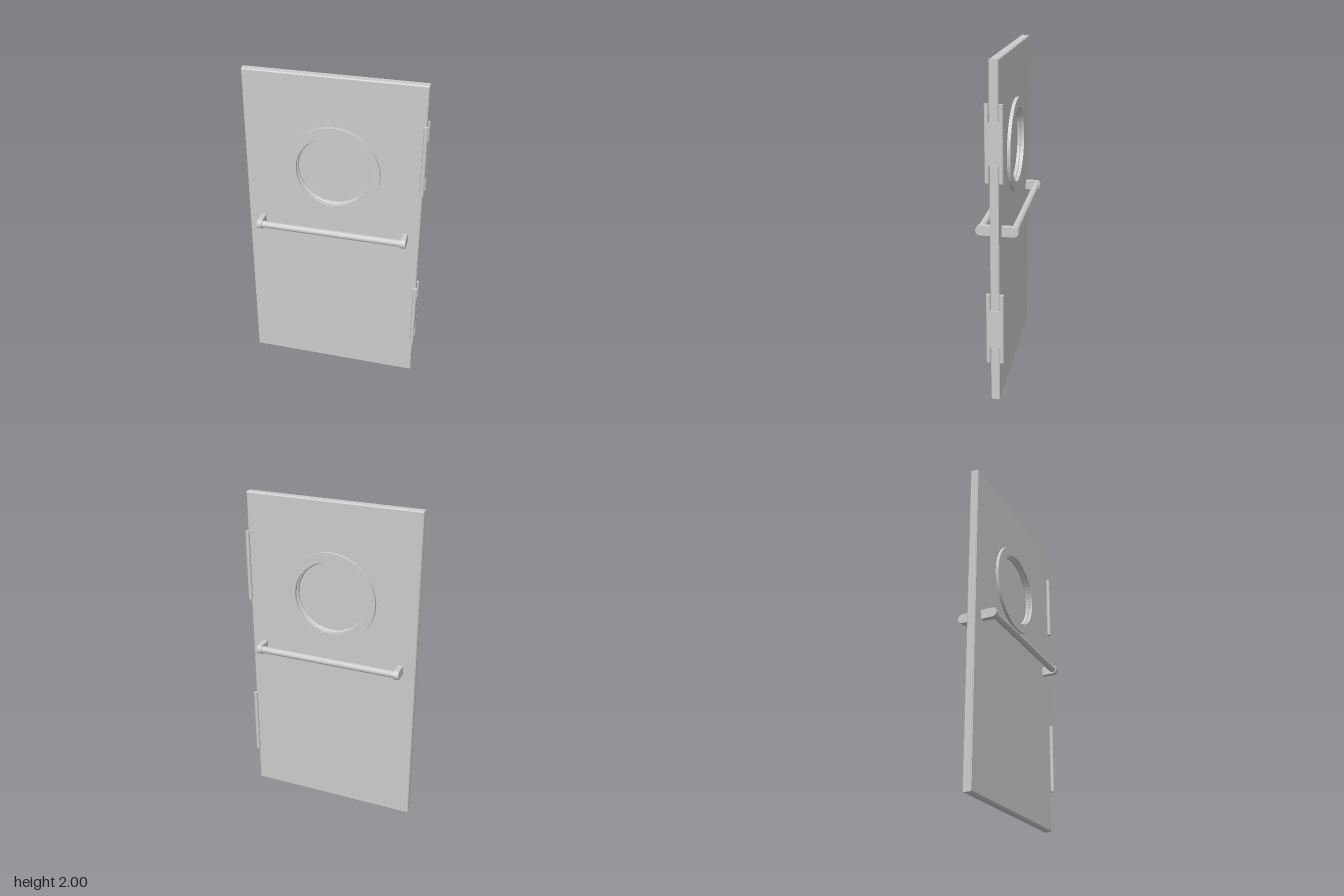
import * as THREE from 'three';

const material = new THREE.MeshStandardMaterial({ color: 0xcccccc });
const CX = -0.004;          // middle of the door leaf
const HALF_T = 0.026;       // half thickness of the leaf
const WINDOW_Y = 1.423;
const BAR_Y = 1.036;

function add(parent, name, geometry, x = 0, y = 0, z = 0) {
  const mesh = new THREE.Mesh(geometry, material);
  mesh.name = name;
  mesh.position.set(x, y, z);
  parent.add(mesh);
  return mesh;
}

function circlePath(r, x = 0, y = 0) {
  return new THREE.Path().absarc(x, y, r, 0, Math.PI * 2, true);
}

// Door leaf with bevelled edges and a round window opening
function leafGeometry() {
  const b = 0.006, w = 0.53 - b;
  const shape = new THREE.Shape();
  shape.moveTo(-w, b).lineTo(w, b).lineTo(w, 2 - b).lineTo(-w, 2 - b).closePath();
  shape.holes.push(circlePath(0.219, -CX - 0.002, WINDOW_Y));
  const depth = 2 * (HALF_T - b);
  return new THREE.ExtrudeGeometry(shape, {
    depth, bevelEnabled: true, bevelSize: b, bevelThickness: b, bevelSegments: 1, curveSegments: 32,
  }).translate(0, 0, -depth / 2);
}

// Flat window ring turned as a rectangular profile, facing z
function ringGeometry() {
  const inner = 0.222, outer = 0.281, h = 0.022;
  const sides = [
    [inner, h, inner, 0], [inner, 0, outer, 0], [outer, 0, outer, h], [outer, h, inner, h],
  ];
  return sides.map(([r0, y0, r1, y1]) => new THREE.LatheGeometry(
    [new THREE.Vector2(r0, y0), new THREE.Vector2(r1, y1)], 32).rotateX(Math.PI / 2));
}

// Bracket standing off the leaf with a half-round outer end
function bracketGeometry() {
  const r = 0.029, end = 0.123 - r, start = HALF_T - 0.004, w = 0.031;
  const s = new THREE.Shape();
  s.moveTo(start, -r).lineTo(end, -r);
  s.absarc(end, 0, r, -Math.PI / 2, Math.PI / 2, false);
  s.lineTo(start, r).closePath();
  return new THREE.ExtrudeGeometry(s, { depth: w, bevelEnabled: false, curveSegments: 16 })
    .translate(0, 0, -w / 2).rotateY(-Math.PI / 2);
}

// Ring and pull bar of one face; the back is the same set turned around
function faceFittings(name) {
  const group = new THREE.Group();
  group.name = name;
  const ring = new THREE.Group();
  ring.name = 'windowRing';
  ring.position.set(0, WINDOW_Y, HALF_T - 0.002);
  ringGeometry().forEach((g) => add(ring, 'ringSurface', g));
  group.add(ring);
  for (const side of [-1, 1]) add(group, 'handleBracket', bracketGeometry(), side * 0.443, BAR_Y);
  add(group, 'handleBar', new THREE.CylinderGeometry(0.021, 0.021, 0.87, 24).rotateZ(Math.PI / 2), 0, BAR_Y, 0.096);
  return group;
}

// Hinge: a cover plate on the leaf edge between two upright pins
function hinge(y) {
  const group = new THREE.Group();
  group.name = 'hinge';
  group.position.set(0.522, y, 0);
  add(group, 'hingePlate', new THREE.BoxGeometry(0.009, 0.236, 0.08), 0.006);
  for (const side of [-1, 1]) {
    add(group, 'hingePin', new THREE.CylinderGeometry(0.0125, 0.0125, 0.43, 20), 0, 0, side * 0.039);
  }
  return group;
}

export function createModel() {
  const door = new THREE.Group();
  door.name = 'door';
  add(door, 'doorLeaf', leafGeometry(), CX - 0.001);

  // Window pane set in the middle of the opening
  add(door, 'windowPane', new THREE.CylinderGeometry(0.217, 0.217, 0.01, 32).rotateX(Math.PI / 2), -0.003, WINDOW_Y, 0);

  const front = faceFittings('frontFittings');
  const back = faceFittings('backFittings');
  back.rotation.y = Math.PI;
  for (const side of [front, back]) {
    side.position.x = -0.002;
    door.add(side);
  }

  for (const y of [1.554, 0.463]) door.add(hinge(y));
  // Lathe walls of the rings are thin surfaces
  material.side = THREE.DoubleSide;
  return door;
}
